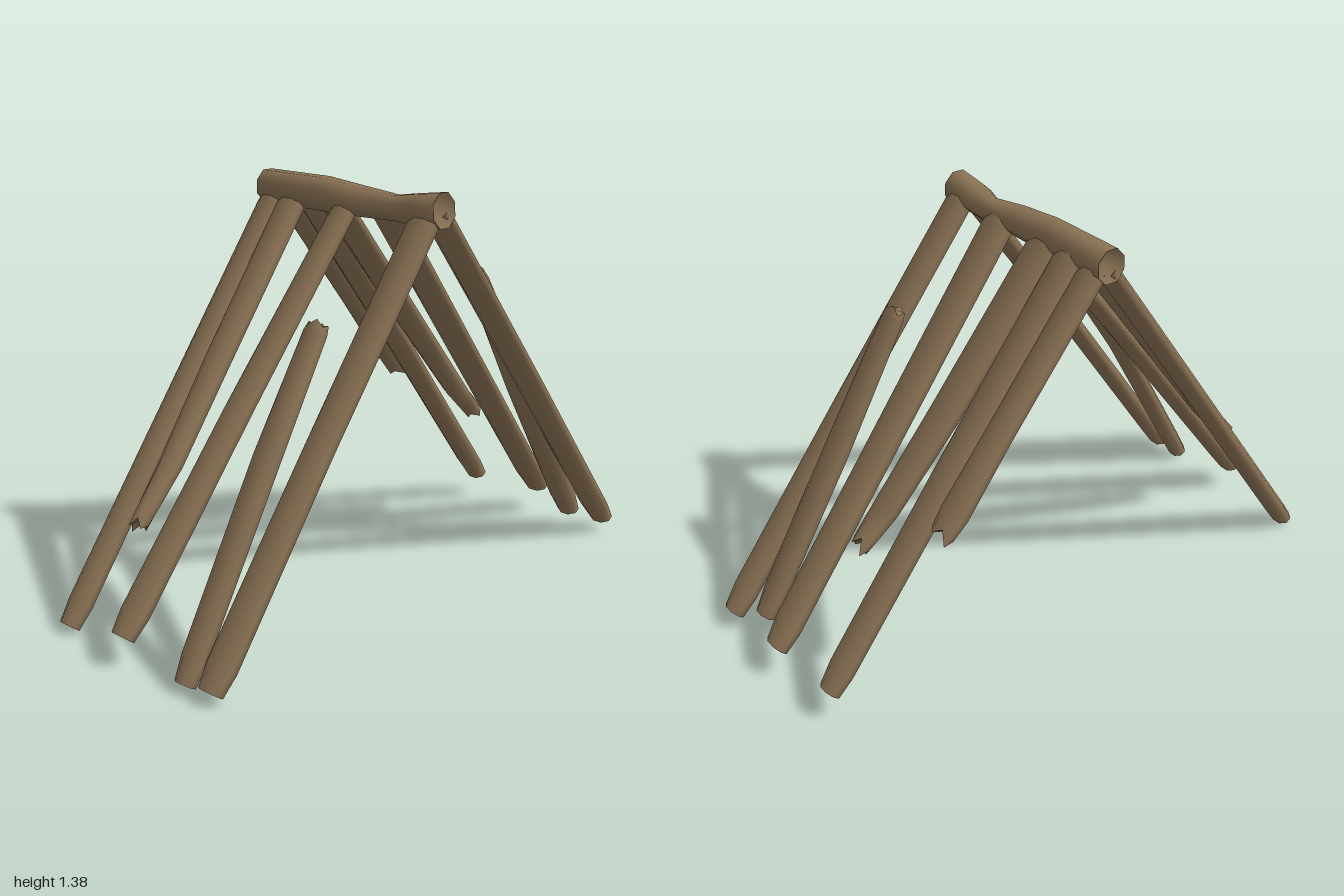
import * as THREE from 'three';

const SIDES = 8;
const Z = new THREE.Vector3(0, 0, 1);
const X = new THREE.Vector3(1, 0, 0);

// Small repeating offsets that make a broken end ragged
const RAGGED = [0.3, -0.6, 0.5, -0.2, 0.8, -0.9, 0.1, -0.4];

// Lofts octagonal rings { p, w, t } along a path; wide is the direction of the half width w.
// ragged and recess are [start, end] amounts along the path.
function loft(rings, wide, ragged, recess) {
  const pos = [], index = [], grow = 1 / Math.cos(Math.PI / SIDES);
  const last = rings.length - 1;
  const tangents = rings.map((r, i) =>
    rings[Math.min(i + 1, last)].p.clone().sub(rings[Math.max(i - 1, 0)].p).normalize());
  rings.forEach((r, i) => {
    const n = tangents[i].clone().cross(wide).normalize();
    const rag = i === 0 ? ragged[0] : i === last ? ragged[1] : 0;
    for (let j = 0; j < SIDES; j++) {
      const a = (j + 0.5) / SIDES * Math.PI * 2;
      const v = r.p.clone()
        .addScaledVector(wide, Math.cos(a) * r.w * grow)
        .addScaledVector(n, Math.sin(a) * r.t * grow)
        .addScaledVector(tangents[i], RAGGED[j] * rag);
      pos.push(v.x, v.y, v.z);
    }
  });
  for (let i = 0; i < last; i++) {
    for (let j = 0; j < SIDES; j++) {
      const k = (j + 1) % SIDES;
      const a = i * SIDES + j, b = i * SIDES + k, c = b + SIDES, d = a + SIDES;
      index.push(a, b, c, a, c, d);
    }
  }
  // End caps with their own vertices so the rims stay sharp
  [0, last].forEach((i, e) => {
    const base = pos.length / 3;
    for (let j = 0; j < SIDES * 3; j++) pos.push(pos[i * SIDES * 3 + j]);
    const c = rings[i].p.clone().addScaledVector(tangents[i], (e ? -1 : 1) * recess[e]);
    pos.push(c.x, c.y, c.z);
    for (let j = 0; j < SIDES; j++) {
      const k = (j + 1) % SIDES;
      index.push(base + SIDES, base + (e ? j : k), base + (e ? k : j));
    }
  });
  const geo = new THREE.BufferGeometry();
  geo.setAttribute('position', new THREE.Float32BufferAttribute(pos, 3));
  geo.setIndex(index);
  geo.computeVertexNormals();
  return geo;
}

// A flattened log through points [x, y, z, half width], narrowed at both ends
function logGeometry(points, ragged) {
  const rings = points.map(([x, y, z, w]) => ({ p: new THREE.Vector3(x, y, z), w, t: 0.028 }));
  const bevel = (end, next, dist) => {
    const f = dist / end.p.distanceTo(next.p);
    const ring = { p: end.p.clone().lerp(next.p, f), w: end.w, t: end.t };
    end.w *= 0.78;
    return ring;
  };
  const n = rings.length;
  const top = bevel(rings[0], rings[1], 0.025);
  const foot = bevel(rings[n - 1], rings[n - 2], 0.08);
  rings.splice(n - 1, 0, foot);
  rings.splice(1, 0, top);
  return loft(rings, Z, ragged, [0, ragged[1] ? 0.02 : 0.008]);
}

export function createModel() {
  const group = new THREE.Group();
  const wood = new THREE.MeshStandardMaterial({ color: 0x8b7355 });
  wood.name = 'weatheredWood';
  const add = (name, geo) => {
    const mesh = new THREE.Mesh(geo, wood);
    mesh.name = name;
    group.add(mesh);
  };

  // Ridge beam with a worn dip near the front: [x, y, z, half width, half height]
  const ridge = [
    [-0.025, 1.33, 0.4, 0.05, 0.055],
    [-0.025, 1.322, 0.28, 0.05, 0.047],
    [-0.014, 1.315, 0.19, 0.037, 0.04],
    [-0.025, 1.322, 0.05, 0.05, 0.047],
    [-0.025, 1.33, -0.12, 0.05, 0.055],
    [-0.025, 1.33, -0.4, 0.05, 0.055],
  ].map(([x, y, z, w, t]) => ({ p: new THREE.Vector3(x, y, z), w, t }));
  add('ridgeBeam', loft(ridge, X, [0, 0], [0.04, 0.04]));

  // Logs of the left slope (+x), front to back
  const left = [
    [[[0, 1.315, 0.342, 0.056], [0.5, 0.67, 0.342, 0.056], [0.972, 0.05, 0.342, 0.056]], [0, 0]],
    [[[0.355, 1.06, 0.208, 0.044], [0.6, 0.6, 0.23, 0.055], [0.907, 0.07, 0.238, 0.052]], [0.015, 0]],
    [[[0, 1.315, 0.118, 0.064], [0.5, 0.69, 0.075, 0.062], [0.972, 0.1, 0.035, 0.06]], [0.006, 0]],
    [[[0, 1.315, -0.115, 0.066], [0.38, 0.83, -0.1, 0.062], [0.6, 0.54, -0.072, 0.052], [0.7, 0.44, -0.07, 0.045]], [0, 0.03]],
    [[[0, 1.32, -0.242, 0.057], [0.48, 0.7, -0.243, 0.055], [0.94, 0.09, -0.245, 0.052]], [0, 0]],
    [[[0, 1.305, -0.348, 0.05], [0.35, 0.86, -0.345, 0.05], [0.57, 0.58, -0.345, 0.056]], [0.012, 0.025]],
  ];

  // Logs of the right slope (-x), front to back
  const right = [
    [[[-0.045, 1.3, 0.342, 0.056], [-0.5, 0.67, 0.342, 0.053], [-0.947, 0.03, 0.342, 0.056]], [0, 0]],
    [[[-0.35, 0.99, 0.18, 0.042], [-0.6, 0.63, 0.215, 0.05], [-0.955, 0.022, 0.236, 0.047]], [0.02, 0]],
    [[[-0.045, 1.3, -0.005, 0.046], [-0.5, 0.71, -0.025, 0.052], [-0.975, 0.088, -0.035, 0.056]], [0, 0]],
    [[[-0.045, 1.3, -0.252, 0.055], [-0.42, 0.82, -0.217, 0.052], [-0.65, 0.53, -0.185, 0.045], [-0.8, 0.365, -0.168, 0.035]], [0, 0.03]],
    [[[-0.045, 1.3, -0.352, 0.048], [-0.5, 0.66, -0.35, 0.048], [-0.957, 0.017, -0.345, 0.05]], [0, 0]],
  ];
  left.forEach(([pts, rag], i) => add(`leftLog${i + 1}`, logGeometry(pts, rag)));
  right.forEach(([pts, rag], i) => add(`rightLog${i + 1}`, logGeometry(pts, rag)));
  return group;
}
